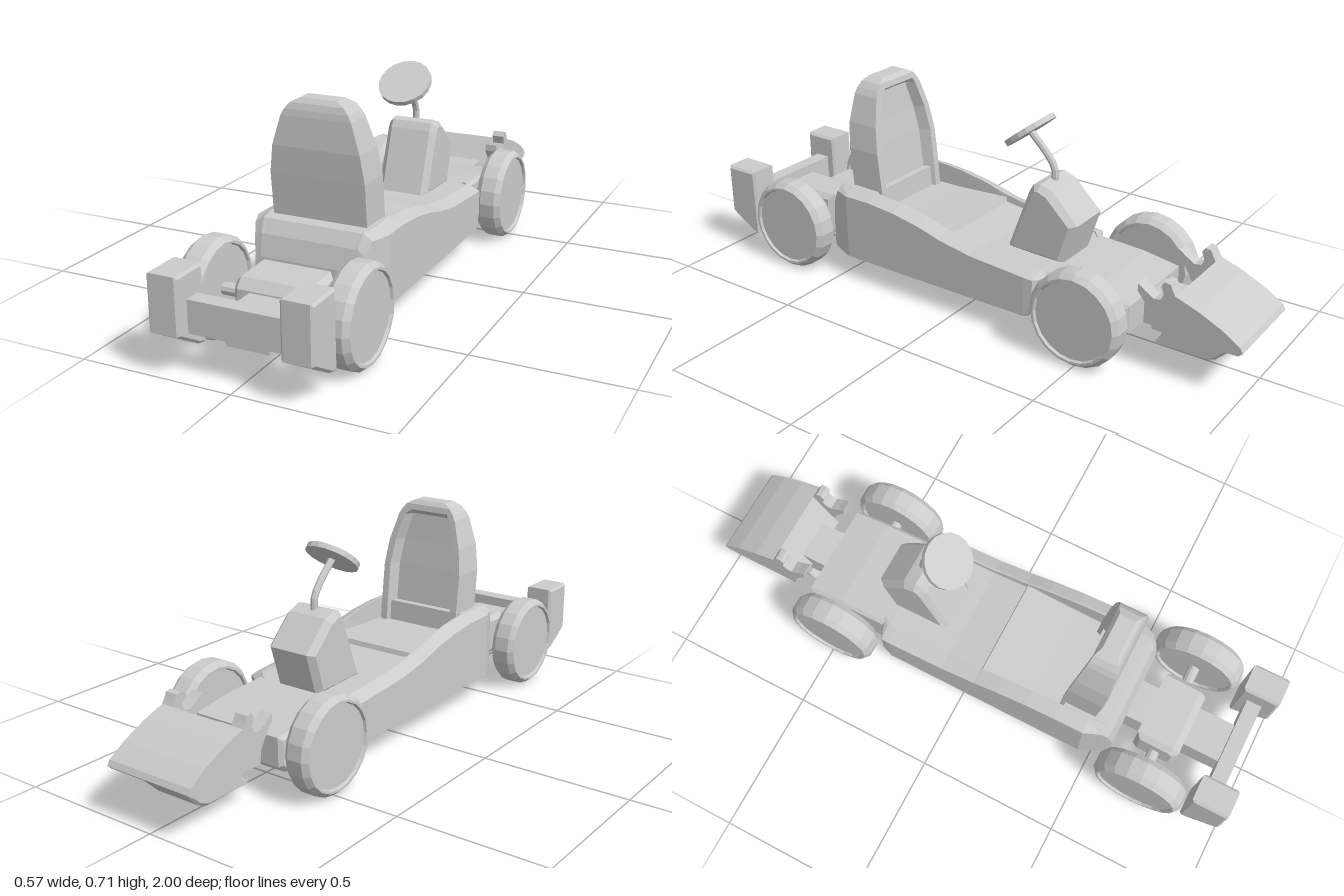
import * as THREE from 'three';

const material = new THREE.MeshStandardMaterial({ color: 0xcccccc, flatShading: true });

function add(parent, name, geometry, x = 0, y = 0, z = 0) {
  const mesh = new THREE.Mesh(geometry, material);
  mesh.name = name;
  mesh.position.set(x, y, z);
  parent.add(mesh);
  return mesh;
}

// Box given by its limits on each axis
function box(parent, name, [x0, x1], [y0, y1], [z0, z1]) {
  return add(parent, name, new THREE.BoxGeometry(x1 - x0, y1 - y0, z1 - z0),
    (x0 + x1) / 2, (y0 + y1) / 2, (z0 + z1) / 2);
}

// Side profile of [z, y] points, extruded from x0 to x1
function sideProfile(points, x0, x1, bevel = 0) {
  const shape = new THREE.Shape(points.map(([z, y]) => new THREE.Vector2(z, y)));
  const geometry = new THREE.ExtrudeGeometry(shape, {
    depth: x1 - x0 - 2 * bevel, bevelEnabled: bevel > 0, bevelSize: bevel,
    bevelThickness: bevel, bevelOffset: -bevel, bevelSegments: 1,
  });
  return geometry.rotateY(-Math.PI / 2).translate(x1 - bevel, 0, 0);
}

// Skin over closed counter-clockwise loops of [a, b] at rising levels c
function loft(loops, levels, place) {
  const n = loops[0].length;
  const position = [];
  const index = [];
  loops.forEach((loop, k) => loop.forEach(([a, b]) => position.push(...place(a, b, levels[k]))));
  for (let k = 0; k < loops.length - 1; k++) {
    for (let i = 0; i < n; i++) {
      const a = k * n + i, b = k * n + (i + 1) % n;
      index.push(a, b, b + n, a, b + n, a + n);
    }
  }
  const cap = (k, flip) => {
    const outline = loops[k].map(([a, b]) => new THREE.Vector2(a, b));
    for (const [a, b, c] of THREE.ShapeUtils.triangulateShape(outline, [])) {
      index.push(k * n + a, k * n + (flip ? c : b), k * n + (flip ? b : c));
    }
  };
  cap(0, true);
  cap(loops.length - 1, false);
  const geometry = new THREE.BufferGeometry();
  geometry.setAttribute('position', new THREE.Float32BufferAttribute(position, 3));
  geometry.setIndex(index);
  geometry.computeVertexNormals();
  return geometry;
}

const mirrored = (half) => [...half, ...half.map(([x, y]) => [-x, y]).reverse()];

// Tub with raised side rails and a sunken seat pan
function bodyGeometry() {
  // z, half width, half width of top, bottom, rail top, floor
  const stations = [
    [-0.335, 0.175, 0.15, 0.19, 0.235, 0.232],
    [-0.31, 0.222, 0.175, 0.12, 0.24, 0.235],
    [-0.28, 0.225, 0.18, 0.07, 0.243, 0.235],
    [-0.07, 0.225, 0.18, 0.07, 0.258, 0.24],
    [0.055, 0.225, 0.18, 0.07, 0.28, 0.255],
    [0.06, 0.225, 0.18, 0.07, 0.282, 0.272],
    [0.14, 0.225, 0.18, 0.07, 0.304, 0.268],
    [0.25, 0.225, 0.18, 0.07, 0.325, 0.262],
    [0.36, 0.225, 0.18, 0.07, 0.335, 0.26],
    [0.365, 0.225, 0.18, 0.07, 0.335, 0.332],
    [0.46, 0.225, 0.18, 0.07, 0.335, 0.334],
    [0.52, 0.2, 0.17, 0.07, 0.333, 0.332],
    [0.545, 0.188, 0.165, 0.07, 0.29, 0.289],
    [0.56, 0.18, 0.16, 0.075, 0.22, 0.219],
  ];
  const loops = stations.map(([, w, wt, b, t, f]) => mirrored([
    [w - 0.03, b], [w, b + 0.015], [w, t - 0.02], [wt, t], [wt - 0.006, t], [wt - 0.008, f],
  ]));
  return loft(loops, stations.map((s) => s[0]), (a, b, c) => [a, b, c]);
}

// Seat back narrowing upward, with a hollow front
function seatGeometry() {
  // y, half width, front z, back z, depth of hollow
  const stations = [
    [0.26, 0.16, 0.345, 0.465, 0.04],
    [0.335, 0.16, 0.35, 0.475, 0.04],
    [0.47, 0.16, 0.365, 0.488, 0.04],
    [0.56, 0.147, 0.378, 0.495, 0.04],
    [0.655, 0.118, 0.394, 0.491, 0.035],
    [0.675, 0.107, 0.398, 0.488, 0],
    [0.695, 0.09, 0.402, 0.482, 0],
    [0.71, 0.062, 0.415, 0.47, 0],
  ];
  const loops = stations.map(([, w, f, b, d]) => [
    [f, -w], [b, -w], [b, w], [f, w],
    [f, w - 0.025], [f + d, w - 0.04], [f + d, 0.04 - w], [f, 0.025 - w],
  ]);
  return loft(loops, stations.map((s) => s[0]), (a, b, c) => [b, c, a]);
}

export function createModel() {
  const model = new THREE.Group();
  model.name = 'goKart';

  add(model, 'body', bodyGeometry());
  add(model, 'seatBack', seatGeometry());
  add(model, 'nose', sideProfile([[-0.3, 0.075], [-0.6, 0.085], [-0.63, 0.11], [-0.63, 0.205],
    [-0.5, 0.225], [-0.3, 0.235]], -0.175, 0.175, 0.012));
  box(model, 'wingMount', [-0.07, 0.07], [0.105, 0.2], [-0.74, -0.6]);

  // Steering
  add(model, 'steeringConsole', sideProfile([[-0.12, 0.23], [-0.2, 0.45], [-0.215, 0.475],
    [-0.24, 0.482], [-0.285, 0.465], [-0.382, 0.37], [-0.335, 0.22]], -0.092, 0.092, 0.02));
  const column = new THREE.CatmullRomCurve3([[0.46, -0.25], [0.515, -0.247], [0.555, -0.22], [0.62, -0.155]]
    .map(([y, z]) => new THREE.Vector3(0, y, z)));
  add(model, 'steeringColumn', new THREE.TubeGeometry(column, 8, 0.012, 8));
  const wheelDisc = add(model, 'steeringWheel', new THREE.CylinderGeometry(0.092, 0.092, 0.018, 18), 0, 0.626, -0.152);
  wheelDisc.rotation.x = Math.atan2(0.115, 0.145);

  // Wheels and axles
  const tyre = [[0, -0.036], [0.133, -0.036], [0.137, -0.045], [0.145, -0.045], [0.16, -0.026],
    [0.16, 0.026], [0.145, 0.045], [0.137, 0.045], [0.133, 0.036], [0, 0.036]];
  const wheel = new THREE.LatheGeometry(tyre.map(([r, h]) => new THREE.Vector2(r, h)), 20).rotateZ(Math.PI / 2);
  const axle = new THREE.CylinderGeometry(0.02, 0.02, 0.42, 10).rotateZ(Math.PI / 2);
  for (const [end, z] of [['front', -0.493], ['rear', 0.697]]) {
    add(model, end + 'Axle', axle, 0, 0.16, z);
    add(model, end + 'LeftWheel', wheel, 0.242, 0.16, z);
    add(model, end + 'RightWheel', wheel, -0.242, 0.16, z);
  }

  // Front wing: sloped centre, hooked ends and a keel below
  const slope = [[-0.775, 0.283], [-0.85, 0.257], [-0.93, 0.22], [-0.99, 0.182], [-1, 0.165], [-0.985, 0.152]];
  add(model, 'wingCentre', sideProfile([...slope, [-0.69, 0.15]], -0.118, 0.118));
  const hooks = [[-0.705, 0.15], [-0.7, 0.19], [-0.678, 0.23], [-0.65, 0.265], [-0.65, 0.29],
    [-0.675, 0.272], [-0.705, 0.254], [-0.727, 0.258], [-0.737, 0.275], [-0.727, 0.305],
    [-0.738, 0.32], [-0.757, 0.317], [-0.765, 0.3]];
  add(model, 'wingLeftEnd', sideProfile([...slope, ...hooks], 0.116, 0.16));
  add(model, 'wingRightEnd', sideProfile([...slope, ...hooks], -0.16, -0.116));
  add(model, 'wingKeel', sideProfile([[-0.675, 0.055], [-0.85, 0.052], [-0.885, 0.066], [-0.96, 0.14],
    [-0.96, 0.16], [-0.7, 0.16], [-0.7, 0.085]], -0.088, 0.088, 0.008));

  // Engine, rear spine and bumper
  add(model, 'engine', sideProfile([[0.62, 0.09], [0.75, 0.09], [0.775, 0.12], [0.775, 0.205],
    [0.75, 0.235], [0.62, 0.24]], -0.13, 0.13, 0.018));
  box(model, 'rearSpine', [-0.07, 0.07], [0.09, 0.2], [0.53, 0.905]);
  box(model, 'bumperBar', [-0.17, 0.17], [0.132, 0.235], [0.902, 0.955]);
  const block = [[0.868, 0.068], [0.9, 0.075], [1, 0.135], [1, 0.315], [0.872, 0.315]];
  add(model, 'bumperLeftBlock', sideProfile(block, 0.16, 0.262, 0.008));
  add(model, 'bumperRightBlock', sideProfile(block, -0.262, -0.16, 0.008));

  return model;
}
